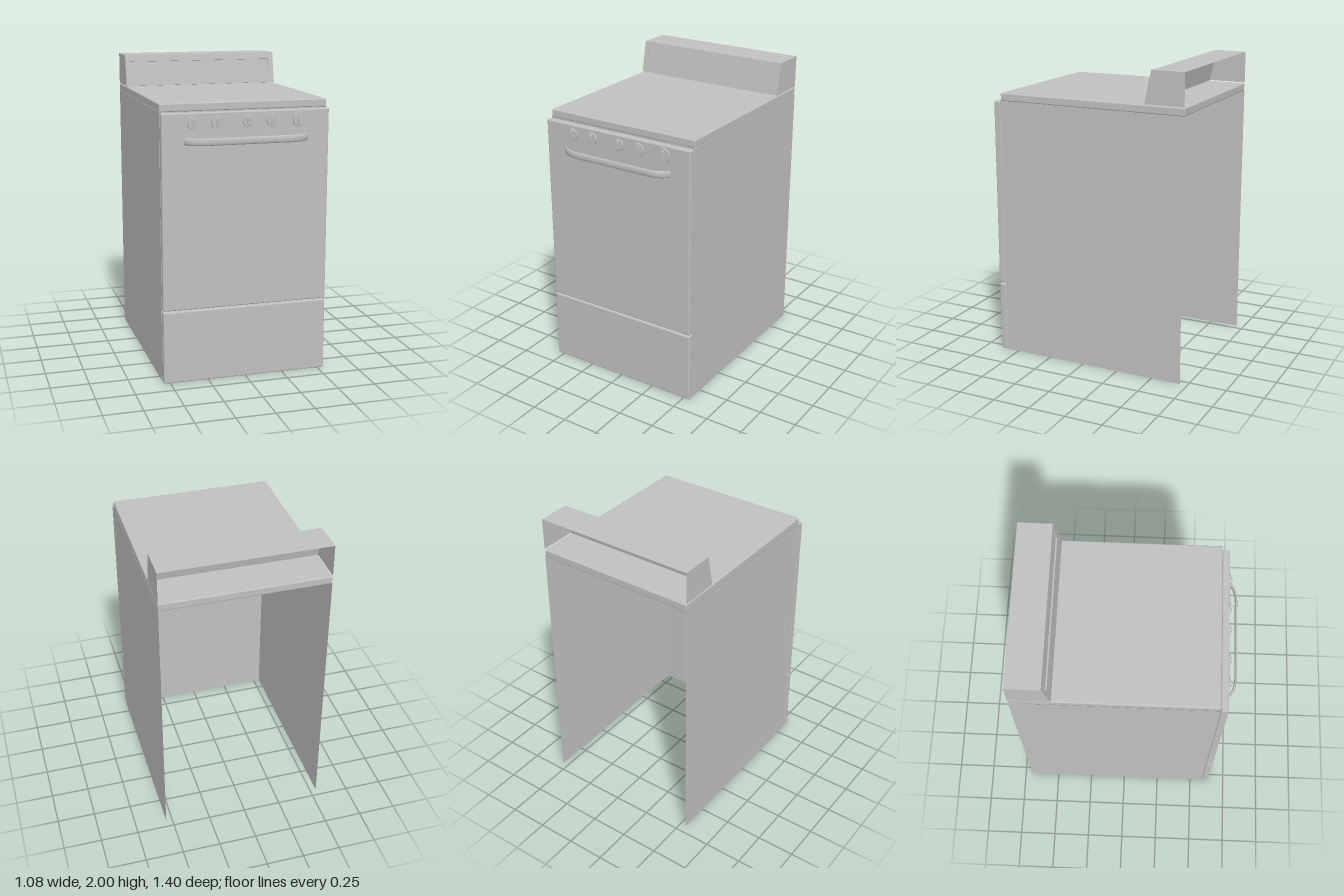
import * as THREE from 'three';
import { RoundedBoxGeometry } from 'three/addons/geometries/RoundedBoxGeometry.js';

const enamel = new THREE.MeshStandardMaterial({ color: 0xc0c0c0, side: THREE.DoubleSide });
enamel.name = 'grey enamel';

const W = 0.542;      // half width
const BACK = -0.7;

function add(parent, name, geometry, x = 0, y = 0, z = 0) {
  const mesh = new THREE.Mesh(geometry, enamel);
  mesh.name = name;
  mesh.position.set(x, y, z);
  parent.add(mesh);
  return mesh;
}

// softly rounded slab given by its limits in y and z
function slab(parent, name, y0, y1, z0, z1, r = 0.008) {
  return add(parent, name, new RoundedBoxGeometry(2 * W, y1 - y0, z1 - z0, 2, r),
    0, (y0 + y1) / 2, (z0 + z1) / 2);
}

function rect(path, x0, y0, x1, y1) {
  return path.moveTo(x0, y0).lineTo(x1, y0).lineTo(x1, y1).lineTo(x0, y1).closePath();
}

// open-backed, open-bottomed sheet cabinet
function makeCabinet() {
  const g = new THREE.Group();
  g.name = 'cabinet';
  const front = 0.588, depth = front - BACK;
  for (const s of [-1, 1]) {
    const side = add(g, s > 0 ? 'leftSide' : 'rightSide', new THREE.PlaneGeometry(depth, 1.735),
      s * W, 0.8675, (front + BACK) / 2);
    side.rotation.y = s * Math.PI / 2;
  }
  add(g, 'frontSheet', new THREE.PlaneGeometry(2 * W, 1.735), 0, 0.8675, front);
  return g;
}

// backguard: hollow shell with a slanted front and a recessed strip
function makeBackguard() {
  const g = new THREE.Group();
  g.name = 'backguard';
  const y0 = 1.79, y1 = 2, zBottom = -0.436, zTop = -0.48;
  const slant = Math.hypot(y1 - y0, zBottom - zTop);

  const profile = new THREE.Shape().moveTo(-BACK, y0).lineTo(-zBottom, y0)
    .lineTo(-zTop, y1).lineTo(-BACK, y1).closePath();
  for (const s of [-1, 1]) {
    const end = add(g, s > 0 ? 'leftEnd' : 'rightEnd', new THREE.ShapeGeometry(profile), s * W);
    end.rotation.y = Math.PI / 2;
  }
  const top = add(g, 'backguardTop', new THREE.PlaneGeometry(2 * W, zTop - BACK), 0, y1, (zTop + BACK) / 2);
  top.rotation.x = -Math.PI / 2;

  // slanted face, built upright and then tilted back about its lower edge
  const face = new THREE.Group();
  face.name = 'slantedFace';
  face.position.set(0, y0, zBottom);
  face.rotation.x = -Math.atan2(zBottom - zTop, y1 - y0);
  const frame = rect(new THREE.Shape(), -W, 0, W, slant);
  frame.holes.push(rect(new THREE.Path(), -0.508, 0.102, 0.502, 0.17));
  const depth = 0.01;
  add(face, 'faceFrame', new THREE.ExtrudeGeometry(frame, { depth, bevelEnabled: false }), 0, 0, -depth);
  add(face, 'recessedStrip', new THREE.PlaneGeometry(1.01, 0.068), -0.003, 0.136, -depth);
  g.add(face);
  return g;
}

// control knob: thin dial, upright grip and narrow pointer rib
function makeKnob(x, radius) {
  const g = new THREE.Group();
  g.name = 'knob';
  g.position.set(x, 1.668, 0.636);
  const dial = add(g, 'dial', new THREE.CylinderGeometry(radius * 0.95, radius, 0.009, 32), 0, 0, 0.0045);
  dial.rotation.x = Math.PI / 2;
  const r = radius * 0.32, h = radius * 0.44;
  const grip = new THREE.Shape();
  grip.absarc(0, h, r, 0, Math.PI);
  grip.absarc(0, -h, r, Math.PI, 2 * Math.PI);
  add(g, 'grip', new THREE.ExtrudeGeometry(grip, {
    depth: 0.008, bevelThickness: 0.002, bevelSize: 0.002, bevelOffset: -0.002, bevelSegments: 1, curveSegments: 10,
  }), 0, 0, 0.009);
  add(g, 'pointerRib', new THREE.BoxGeometry(r * 0.6, h * 1.8, 0.003), 0, 0, 0.0195);
  return g;
}

// bowed handle, taller than it is thick
function makeHandle() {
  const half = [[0.398, 0.63], [0.385, 0.648], [0.355, 0.671], [0.32, 0.685], [0.27, 0.692], [0.2, 0.692]];
  const points = [
    ...half.map(([x, z]) => new THREE.Vector3(-x, 0, z)),
    ...half.reverse().map(([x, z]) => new THREE.Vector3(x, 0, z)),
  ];
  const geometry = new THREE.TubeGeometry(new THREE.CatmullRomCurve3(points), 64, 0.008, 16);
  geometry.scale(1, 2.9, 1);
  return geometry;
}

export function createModel() {
  const model = new THREE.Group();
  model.name = 'kitchenRange';
  model.add(makeCabinet());
  slab(model, 'cooktop', 1.733, 1.785, BACK, 0.586);
  slab(model, 'ovenDoor', 0.482, 1.73, 0.59, 0.637);
  slab(model, 'drawerFront', 0, 0.473, 0.59, 0.637);
  model.add(makeBackguard());
  for (const [x, r] of [[-0.339, 0.042], [-0.188, 0.042], [0.016, 0.042], [0.169, 0.042], [0.349, 0.05]]) {
    model.add(makeKnob(x, r));
  }
  add(model, 'doorHandle', makeHandle(), 0, 1.556, 0);
  return model;
}
